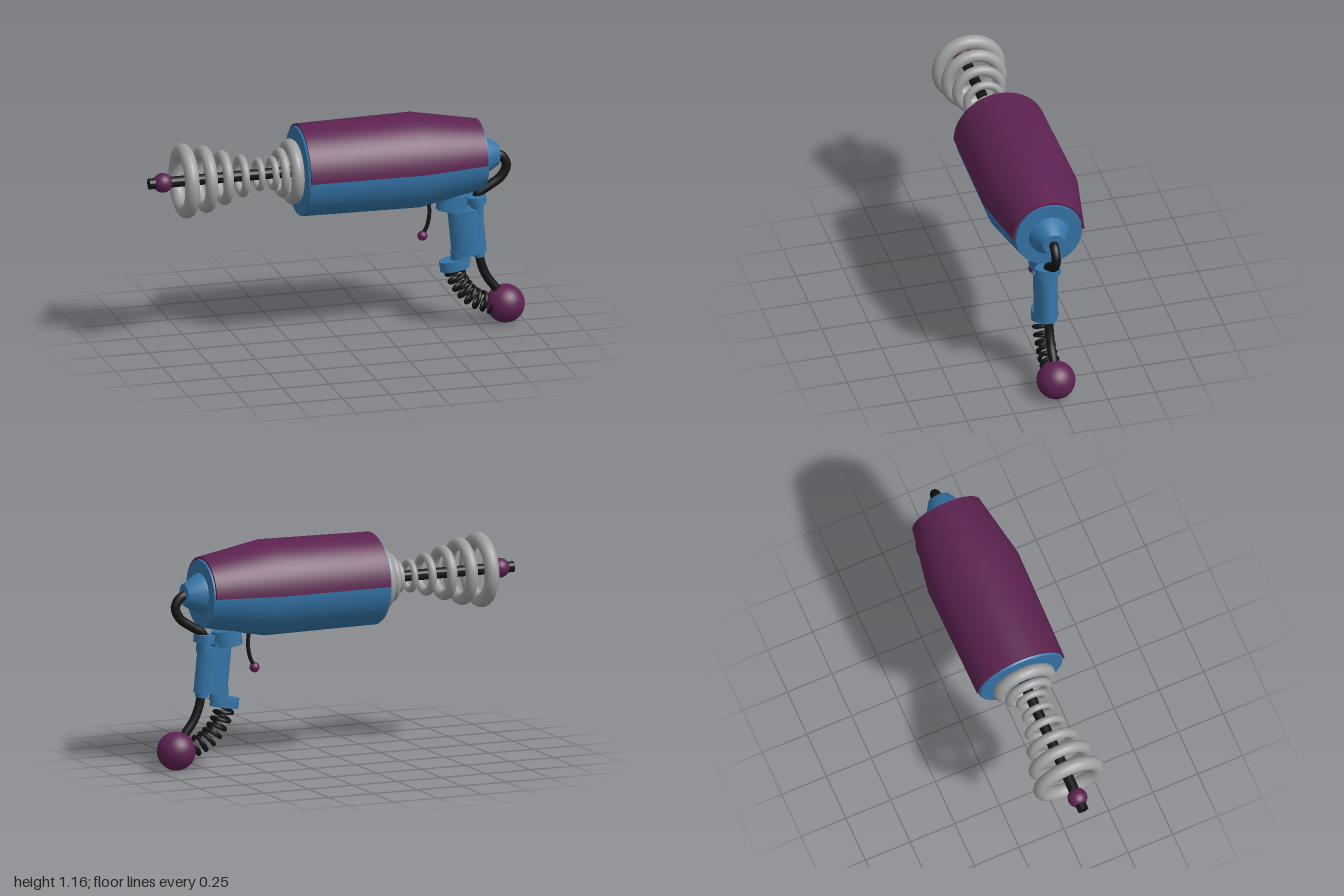
import * as THREE from 'three';
import { toCreasedNormals } from 'three/addons/utils/BufferGeometryUtils.js';

const mat = (color) => new THREE.MeshStandardMaterial({ color, side: THREE.DoubleSide });
const AXIS = 0.91; // height of the barrel axis

export function createModel() {
  const model = new THREE.Group();
  const blue = mat(0x3474a6), purple = mat(0x5c2250), black = mat(0x141414), grey = mat(0xa0a0a0);

  const add = (name, geometry, material, x = 0, y = 0, tilt = 0) => {
    const mesh = new THREE.Mesh(geometry, material);
    mesh.name = name;
    mesh.position.set(x, y, 0);
    mesh.rotation.z = tilt;
    model.add(mesh);
    return mesh;
  };

  // Turned part along the x axis; profile is a list of [radius, x]
  const turned = (name, profile, material, start = 0, sweep = Math.PI * 2) => {
    const points = profile.map(([r, x]) => new THREE.Vector2(r, x));
    const g = new THREE.LatheGeometry(points, 48, start, sweep).rotateZ(-Math.PI / 2);
    return add(name, toCreasedNormals(g, 0.4), material, 0, AXIS);
  };

  // Oval cylinder with separate half widths in x and z
  const oval = (name, x, y, halfX, halfZ, height, tilt) => {
    const g = new THREE.CylinderGeometry(1, 1, height, 32).scale(halfX, 1, halfZ);
    return add(name, g, blue, x, y, tilt);
  };

  const curve = (points) => new THREE.CatmullRomCurve3(points.map(([x, y]) => new THREE.Vector3(x, y, 0)));
  const hose = (name, points, radius) => add(name, new THREE.TubeGeometry(curve(points), 40, radius, 16), black);
  const ball = (name, x, y, r) => add(name, new THREE.SphereGeometry(r, 32, 24), purple, x, y);

  // Barrel body
  turned('barrel', [[0, -0.21], [0.228, -0.21], [0.234, -0.2], [0.241, 0.42], [0.175, 0.765], [0, 0.765]], blue);
  turned('rearCone', [[0.108, 0.76], [0.103, 0.78], [0.057, 0.857], [0, 0.857]], blue);

  // Upper half shell with closed lower edges
  const shell = [[0.244, -0.2], [0.253, 0.41], [0.19, 0.757], [0.178, 0.757], [0.236, 0.41], [0.23, -0.2], [0.244, -0.2]];
  turned('upperShell', shell, purple, Math.PI, Math.PI);
  for (const side of [-1, 1]) {
    const edge = new THREE.Shape(shell.map(([r, x]) => new THREE.Vector2(x, r * side)));
    add('shellEdge', new THREE.ShapeGeometry(edge).rotateX(Math.PI / 2), purple, 0, AXIS);
  }

  // Muzzle rod, tip and rings [x, outer radius, tube radius]
  turned('muzzleRod', [[0, -1], [0.028, -1], [0.028, -0.2]], black);
  ball('muzzleBall', -0.925, AXIS, 0.051);
  const rings = [
    [-0.81, 0.194, 0.038], [-0.703, 0.174, 0.032], [-0.605, 0.142, 0.027], [-0.506, 0.111, 0.021],
    [-0.415, 0.087, 0.017], [-0.34, 0.088, 0.018], [-0.297, 0.129, 0.023], [-0.242, 0.17, 0.034],
  ];
  for (const [x, outer, tube] of rings) {
    add('muzzleRing', new THREE.TorusGeometry(outer - tube, tube, 16, 48).rotateY(Math.PI / 2), grey, x, AXIS);
  }

  // Grip: main body, front mounts and rear pipe
  oval('grip', 0.696, 0.508, 0.092, 0.06, 0.24, 0.1);
  oval('gripTopMount', 0.615, 0.672, 0.08, 0.064, 0.085, -0.12);
  oval('gripTopNeck', 0.65, 0.625, 0.05, 0.045, 0.07, 0.1);
  oval('gripFoot', 0.628, 0.336, 0.078, 0.055, 0.053, 0.15);
  oval('gripFootNeck', 0.66, 0.38, 0.05, 0.045, 0.07, 0.1);
  oval('rearCollar', 0.742, 0.676, 0.053, 0.067, 0.04, 0.08);
  oval('rearNeck', 0.748, 0.635, 0.032, 0.05, 0.07, 0.08);
  oval('rearPipeEnd', 0.757, 0.39, 0.03, 0.043, 0.04, 0.1);

  // Trigger
  hose('trigger', [[0.49, 0.7], [0.495, 0.62], [0.483, 0.555], [0.457, 0.505]], 0.01);
  ball('triggerBall', 0.458, 0.502, 0.026);

  // Hoses and end ball
  hose('upperHose', [[0.84, 0.91], [0.875, 0.9], [0.905, 0.85], [0.88, 0.79], [0.81, 0.74], [0.755, 0.705], [0.745, 0.67]], 0.024);
  hose('lowerHose', [[0.76, 0.39], [0.77, 0.33], [0.8, 0.255], [0.85, 0.185], [0.89, 0.12]], 0.023);
  ball('endBall', 0.9, 0.1, 0.1);

  // Coil spring wound around a curved path
  const path = curve([[0.622, 0.315], [0.655, 0.235], [0.72, 0.155], [0.83, 0.1]]);
  const coil = [], steps = 140, turns = 7.5;
  for (let i = 0; i <= steps; i++) {
    const t = i / steps, a = t * turns * Math.PI * 2;
    const p = path.getPointAt(t), d = path.getTangentAt(t);
    const across = new THREE.Vector3(-d.y, d.x, 0).multiplyScalar(0.044 * Math.cos(a));
    coil.push(p.add(across).setZ(0.044 * Math.sin(a)));
  }
  add('spring', new THREE.TubeGeometry(new THREE.CatmullRomCurve3(coil), 320, 0.011, 8), black);

  return model;
}
